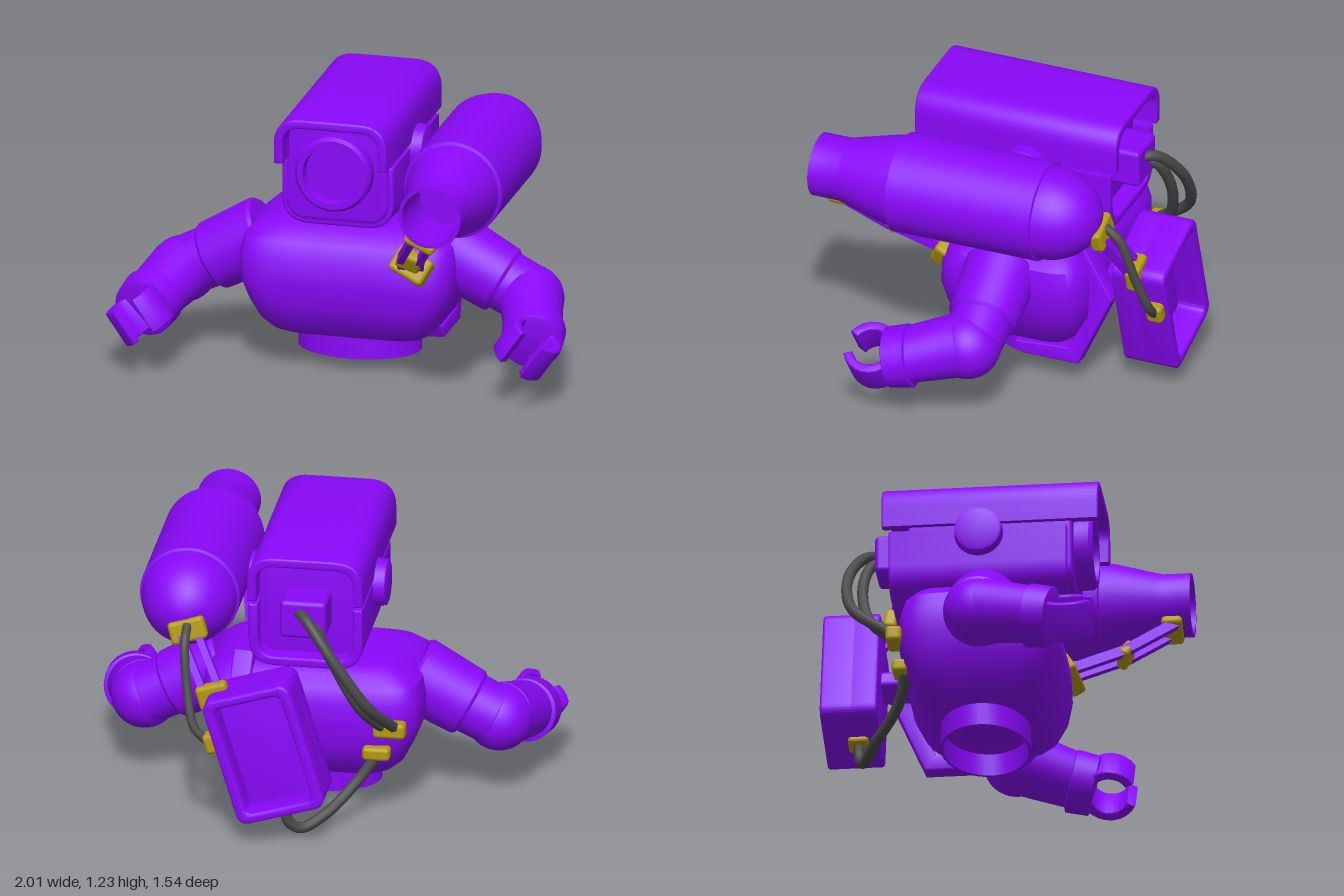
import * as THREE from 'three';
import { toCreasedNormals } from 'three/addons/utils/BufferGeometryUtils.js';
import { RoundedBoxGeometry } from 'three/addons/geometries/RoundedBoxGeometry.js';

const V = (x, y, z) => new THREE.Vector3(x, y, z);
const purple = new THREE.MeshStandardMaterial({ color: 0x8a08fa, side: THREE.DoubleSide });
const yellow = new THREE.MeshStandardMaterial({ color: 0xb39b0c });
const rubber = new THREE.MeshStandardMaterial({ color: 0x4a4a4a });

export function createModel() {
  const root = new THREE.Group();
  root.name = 'armouredTorso';

  function add(name, geometry, material = purple, parent = root) {
    const mesh = new THREE.Mesh(geometry, material);
    mesh.name = name;
    parent.add(mesh);
    return mesh;
  }
  const crease = (g) => toCreasedNormals(g, 0.6);

  // Lathed part whose axis runs along a to b; profile is [radius, fraction of the length]
  function turned(name, a, b, profile) {
    const length = a.distanceTo(b);
    const g = crease(new THREE.LatheGeometry(profile.map(([r, t]) => new THREE.Vector2(r, t * length)), 40));
    const m = add(name, g);
    m.position.copy(a);
    m.quaternion.setFromUnitVectors(V(0, 1, 0), b.clone().sub(a).normalize());
    return m;
  }
  const limb = (name, a, b, ra, rb) =>
    turned(name, a, b, [[0, 0], [ra - 0.012, 0], [ra, 0.05], [rb, 0.95], [rb - 0.012, 1], [0, 1]]);

  function roundedRect(target, w, h, r, cy = 0) {
    const x = w / 2, y0 = cy - h / 2, y1 = cy + h / 2;
    target.moveTo(-x + r, y0).lineTo(x - r, y0);
    target.absarc(x - r, y0 + r, r, -Math.PI / 2, 0);
    target.absarc(x - r, y1 - r, r, 0, Math.PI / 2);
    target.absarc(-x + r, y1 - r, r, Math.PI / 2, Math.PI);
    target.absarc(-x + r, y0 + r, r, Math.PI, Math.PI * 1.5);
    return target;
  }
  function extrude(shape, z0, z1, bevel = 0) {
    const g = new THREE.ExtrudeGeometry(shape, {
      depth: z1 - z0 - 2 * bevel, bevelEnabled: bevel > 0, bevelSize: bevel, bevelThickness: bevel,
      bevelOffset: -bevel, bevelSegments: 3, curveSegments: 10,
    });
    g.translate(0, 0, z0 + bevel);
    return crease(g);
  }

  // Torso: stacked squarish sections [y, half width, back z, front z]
  const sections = [
    [0.16, 0.0, -0.08, -0.06], [0.16, 0.31, -0.27, 0.14], [0.18, 0.345, -0.3, 0.18], [0.23, 0.395, -0.35, 0.225],
    [0.32, 0.44, -0.395, 0.265], [0.42, 0.48, -0.41, 0.28], [0.53, 0.48, -0.41, 0.275], [0.6, 0.465, -0.39, 0.24],
    [0.65, 0.41, -0.35, 0.18], [0.675, 0.34, -0.3, 0.12], [0.68, 0.3, -0.25, 0.08], [0.68, 0.0, -0.08, -0.06],
  ];
  const N = 72, pos = [], idx = [];
  const power = (v) => Math.sign(v) * Math.pow(Math.abs(v), 0.33);
  sections.forEach(([y, w, zb, zf], j) => {
    for (let i = 0; i < N; i++) {
      const t = ((i + 0.5) / N) * Math.PI * 2;
      pos.push(w * power(Math.cos(t)), y, (zb + zf) / 2 + ((zf - zb) / 2) * power(Math.sin(t)));
      if (j < sections.length - 1) {
        const a = j * N + i, b = j * N + ((i + 1) % N);
        idx.push(a, a + N, b, b, a + N, b + N);
      }
    }
  });
  const torso = new THREE.BufferGeometry();
  torso.setAttribute('position', new THREE.Float32BufferAttribute(pos, 3));
  torso.setIndex(idx);
  add('torso', crease(torso));

  // Hollow oval waist and neck
  const waist = turned('waist', V(0, 0.06, -0.065), V(0, 0.2, -0.065),
    [[0.255, 1], [0.255, 0], [0.27, 0], [0.27, 1]]);
  waist.scale.z = 0.72;
  limb('neck', V(0, 0.64, -0.08), V(0, 0.76, -0.08), 0.18, 0.18);

  // Helmet: arched hood above, matching cradle below, core between them
  function shell(name, flip, edge, legEnd, z0, z1, w) {
    const s = new THREE.Shape(), r = 0.12, t = 0.04, inner = w - t, f = flip;
    s.moveTo(w, legEnd).lineTo(w, edge - f * r).quadraticCurveTo(w, edge, w - r, edge);
    s.lineTo(r - w, edge).quadraticCurveTo(-w, edge, -w, edge - f * r).lineTo(-w, legEnd);
    s.lineTo(-inner, legEnd).lineTo(-inner, edge - f * r).quadraticCurveTo(-inner, edge - f * t, r - w, edge - f * t);
    s.lineTo(w - r, edge - f * t).quadraticCurveTo(inner, edge - f * t, inner, edge - f * r).lineTo(inner, legEnd);
    add(name, extrude(s, z0, z1, 0.008));
  }
  shell('hood', 1, 1.23, 1.025, -0.49, 0.445, 0.25);
  shell('helmetCradle', -1, 0.72, 1.0, -0.46, 0.31, 0.247);
  add('helmetCore', extrude(roundedRect(new THREE.Shape(), 0.45, 0.46, 0.085, 0.975), -0.38, 0.33, 0.015));
  turned('porthole', V(0, 0.98, 0.3), V(0, 0.98, 0.41),
    [[0.168, 0], [0.168, 0.85], [0.155, 1], [0.13, 1], [0.125, 0.6], [0, 0.6]]);
  for (const s of [-1, 1]) limb('earDisc', V(0.2 * s, 0.975, -0.07), V(0.3 * s, 0.975, -0.07), 0.11, 0.1);
  add('hoseSocket', new RoundedBoxGeometry(0.2, 0.17, 0.18, 3, 0.02)).position.set(0, 0.97, -0.445);

  // Arms, mirrored
  for (const s of [-1, 1]) {
    const p = (x, y, z) => V(x * s, y, z);
    limb('shoulderSleeve', p(0.4, 0.55, -0.03), p(0.65, 0.415, -0.03), 0.163, 0.152);
    limb('upperArm', p(0.62, 0.435, -0.03), p(0.76, 0.365, -0.03), 0.135, 0.132);
    add('elbow', new THREE.SphereGeometry(0.145, 28, 18)).position.copy(p(0.77, 0.355, -0.015));
    limb('forearm', p(0.775, 0.36, 0.0), p(0.855, 0.29, 0.25), 0.14, 0.122);
    limb('cuff', p(0.845, 0.295, 0.21), p(0.862, 0.272, 0.315), 0.138, 0.132);
    // Open gripping hand, tilted with the arm
    const c = new THREE.Shape();
    const gap = 0.45, up = Math.PI / 2;
    c.absarc(0, 0, 0.122, up + gap, up - gap + Math.PI * 2, false);
    c.absarc(0, 0, 0.082, up - gap + Math.PI * 2, up + gap, true);
    const hand = add('hand', extrude(c, -0.085, 0.085, 0.008));
    const ax = V(0.82 * s, -0.57, 0).normalize(), az = V(0, 0, 1);
    hand.quaternion.setFromRotationMatrix(new THREE.Matrix4().makeBasis(ax, az, ax.clone().cross(az)));
    hand.position.copy(p(0.86, 0.266, 0.378));
  }

  // Shoulder cannon: domed rear, barrel, tapered hollow muzzle
  const gun = [];
  for (let i = 0; i <= 10; i++) {
    const a = (i / 10) * Math.PI / 2;
    gun.push([0.205 * Math.sin(a), -0.29 - 0.243 * Math.cos(a)]);
  }
  gun.push([0.217, -0.285], [0.217, 0.38], [0.203, 0.385], [0.19, 0.45], [0.145, 0.62], [0.138, 0.65], [0.138, 0.77],
    [0.122, 0.77], [0.115, 0.5], [0, 0.5]);
  const start = gun[0][1], span = 0.77 - start;
  turned('shoulderCannon', V(0.53, 0.952, start), V(0.53, 0.952, 0.77), gun.map(([r, z]) => [r, (z - start) / span]));

  // Angular strap wrapping the back
  const strap = new THREE.Shape([
    [0.07, 0.73], [0.34, 0.73], [0.51, 0.45], [0.36, 0.11], [0.1, 0.11],
    [0.07, 0.165], [0.31, 0.18], [0.4, 0.35], [0.4, 0.52], [0.3, 0.67], [0.07, 0.67],
  ].map(([x, y]) => new THREE.Vector2(x, y)));
  const strapMesh = add('backStrap', extrude(strap, 0, 0.09, 0.008).rotateY(Math.PI / 2));
  strapMesh.position.x = 0.285;
  strapMesh.rotation.z = 0.06;

  // Tilted backpack, deeply recessed at the rear
  const pack = new THREE.Group();
  pack.name = 'backpack';
  pack.position.set(0.135, 0.43, 0);
  pack.rotation.z = -0.297;
  root.add(pack);
  const frame = roundedRect(new THREE.Shape(), 0.395, 0.585, 0.05);
  frame.holes.push(roundedRect(new THREE.Path(), 0.3, 0.5, 0.03));
  add('packRim', extrude(frame, -0.77, -0.62, 0.012), purple, pack);
  add('packBody', extrude(roundedRect(new THREE.Shape(), 0.395, 0.585, 0.05), -0.645, -0.525, 0.012), purple, pack);
  add('packMount', new RoundedBoxGeometry(0.14, 0.08, 0.16, 2, 0.02), purple, pack).position.set(0, 0.01, -0.46);

  // Yellow brackets and twin-rail struts
  function bracket(p, w, h, d, rx = 0, rz = 0) {
    const b = add('bracket', new RoundedBoxGeometry(w, h, d, 3, 0.018), yellow);
    b.position.copy(p);
    b.rotation.set(rx, 0, rz);
  }
  function strut(a, b, gap) {
    const dir = b.clone().sub(a), len = dir.length();
    dir.normalize();
    const side = V(1, 0, 0).addScaledVector(dir, -dir.x).normalize();
    const g = new THREE.Group();
    g.name = 'strut';
    g.position.copy(a).lerp(b, 0.5);
    g.quaternion.setFromRotationMatrix(new THREE.Matrix4().makeBasis(side, dir, side.clone().cross(dir)));
    for (const s of [-1, 1]) add('strutRail', new THREE.BoxGeometry(0.03, len, 0.045), purple, g).position.x = s * gap;
    root.add(g);
  }
  const front = [V(0.47, 0.81, 0.69), V(0.37, 0.655, 0.5), V(0.315, 0.55, 0.26)];
  strut(front[0], front[1], 0.04);
  strut(front[1], front[2], 0.04);
  bracket(front[0], 0.14, 0.045, 0.09, 0, -0.45);
  bracket(front[1], 0.11, 0.09, 0.05, 0.5, -0.45);
  bracket(front[2], 0.17, 0.12, 0.07, -0.5, -0.45);
  const rear = [V(0.5, 0.89, -0.525), V(0.37, 0.64, -0.635)];
  strut(rear[0], rear[1], 0.035);
  bracket(rear[0], 0.16, 0.1, 0.06, 0.15, -0.3);
  bracket(rear[1], 0.14, 0.11, 0.06, 0, -0.3);
  bracket(V(0.36, 0.46, -0.72), 0.07, 0.09, 0.075, 0, -0.3);
  bracket(V(-0.36, 0.44, -0.42), 0.14, 0.07, 0.07);
  bracket(V(-0.3, 0.32, -0.4), 0.12, 0.06, 0.07);
  bracket(V(0.06, 0.15, -0.62), 0.09, 0.05, 0.09, 0, -0.3);

  // Hoses
  function hose(name, r, ...points) {
    const curve = new THREE.CatmullRomCurve3(points.map((p) => V(...p)));
    add(name, new THREE.TubeGeometry(curve, 48, r, 12), rubber);
  }
  hose('helmetHose', 0.024, [0.03, 1, -0.5], [-0.02, 0.99, -0.57], [-0.14, 0.85, -0.64], [-0.29, 0.62, -0.61], [-0.38, 0.46, -0.44]);
  hose('helmetHose', 0.024, [-0.04, 0.95, -0.5], [-0.07, 0.92, -0.55], [-0.15, 0.78, -0.58], [-0.25, 0.58, -0.54], [-0.33, 0.45, -0.43]);
  hose('lowerHose', 0.024, [-0.3, 0.3, -0.38], [-0.22, 0.19, -0.42], [-0.1, 0.075, -0.53], [0, 0.028, -0.59], [0.05, 0.07, -0.615], [0.06, 0.15, -0.62]);
  hose('cannonHose', 0.02, [0.5, 0.92, -0.54], [0.5, 0.86, -0.61], [0.48, 0.68, -0.67], [0.44, 0.52, -0.72], [0.37, 0.45, -0.72]);

  return root;
}
